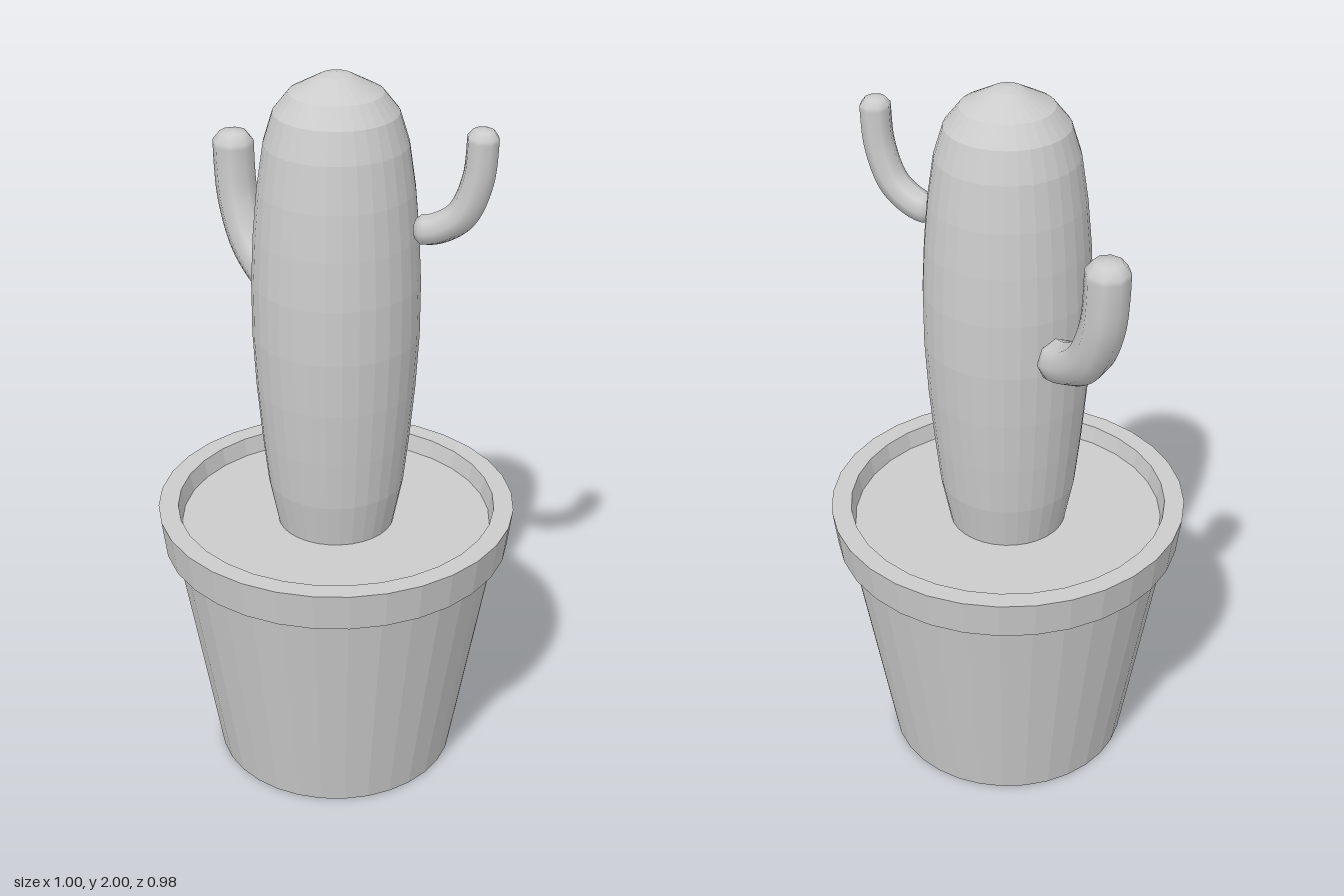
import * as THREE from 'three';
import { mergeVertices } from 'three/addons/utils/BufferGeometryUtils.js';

const SIDES = 32;
const flat = new THREE.MeshStandardMaterial({ color: 0xcccccc, flatShading: true });
const smooth = new THREE.MeshStandardMaterial({ color: 0xcccccc });

// Faceted turned part from [radius, height] pairs, bottom to top
function turned(name, profile) {
  const points = profile.map(([r, y]) => new THREE.Vector2(r, y));
  const mesh = new THREE.Mesh(new THREE.LatheGeometry(points, SIDES), flat);
  mesh.name = name;
  return mesh;
}

// Eight-sided bent arm whose end rings shrink into blunt caps
function arm(name, path, radius) {
  const curve = new THREE.CatmullRomCurve3(path.map((p) => new THREE.Vector3(...p)));
  const rings = 36, sides = 8;
  const geo = new THREE.TubeGeometry(curve, rings, radius, sides, false);
  const pos = geo.attributes.position;
  const v = new THREE.Vector3();
  for (let i = 0; i <= rings; i++) {
    const fromEnd = Math.min(i, rings - i);
    if (fromEnd > 1) continue;
    const u = i / rings;
    const centre = curve.getPointAt(u);
    // the blunt ring sits close to the tip
    const target = curve.getPointAt(fromEnd === 0 ? u : i === 1 ? 0.3 / rings : 1 - 0.3 / rings);
    const scale = fromEnd === 0 ? 0 : 0.65;
    for (let j = 0; j <= sides; j++) {
      const k = i * (sides + 1) + j;
      v.fromBufferAttribute(pos, k).sub(centre).multiplyScalar(scale).add(target);
      pos.setXYZ(k, v.x, v.y, v.z);
    }
  }
  geo.deleteAttribute('normal');
  geo.deleteAttribute('uv');
  const merged = mergeVertices(geo, 1e-5);
  merged.computeVertexNormals();
  const mesh = new THREE.Mesh(merged, smooth);
  mesh.name = name;
  return mesh;
}

export function createModel() {
  const model = new THREE.Group();
  model.name = 'pottedCactus';

  // Pot, rim, soil and stem share one axis
  const upright = new THREE.Group();
  upright.name = 'potAndStem';
  upright.position.x = 0.008;
  upright.add(
    turned('pot', [[0, 0], [0.337, 0], [0.45, 0.676]]),
    turned('rim', [[0.45, 0.676], [0.478, 0.676], [0.491, 0.783], [0.437, 0.783], [0.427, 0.732]]),
    turned('soil', [[0.427, 0.732], [0, 0.732]]),
    turned('stem', [
      [0.16, 0.732], [0.185, 0.86], [0.2, 1.0], [0.213, 1.15], [0.221, 1.3],
      [0.221, 1.45], [0.214, 1.58], [0.203, 1.7], [0.185, 1.82], [0.16, 1.9],
      [0.12, 1.95], [0.04, 1.993], [0, 2],
    ]),
  );
  model.add(upright);

  // Large arm on the right, small arm on the left towards the back
  model.add(
    arm('rightArm', [
      [-0.2, 1.35, 0], [-0.25, 1.355, 0], [-0.31, 1.378, 0],
      [-0.38, 1.435, 0], [-0.43, 1.54, 0], [-0.444, 1.64, 0], [-0.446, 1.73, 0],
    ], 0.057),
    arm('leftArm', [
      [0.19, 1.617, -0.11], [0.235, 1.625, -0.137], [0.292, 1.67, -0.171],
      [0.326, 1.767, -0.192], [0.335, 1.9, -0.198],
    ], 0.041),
  );
  return model;
}
